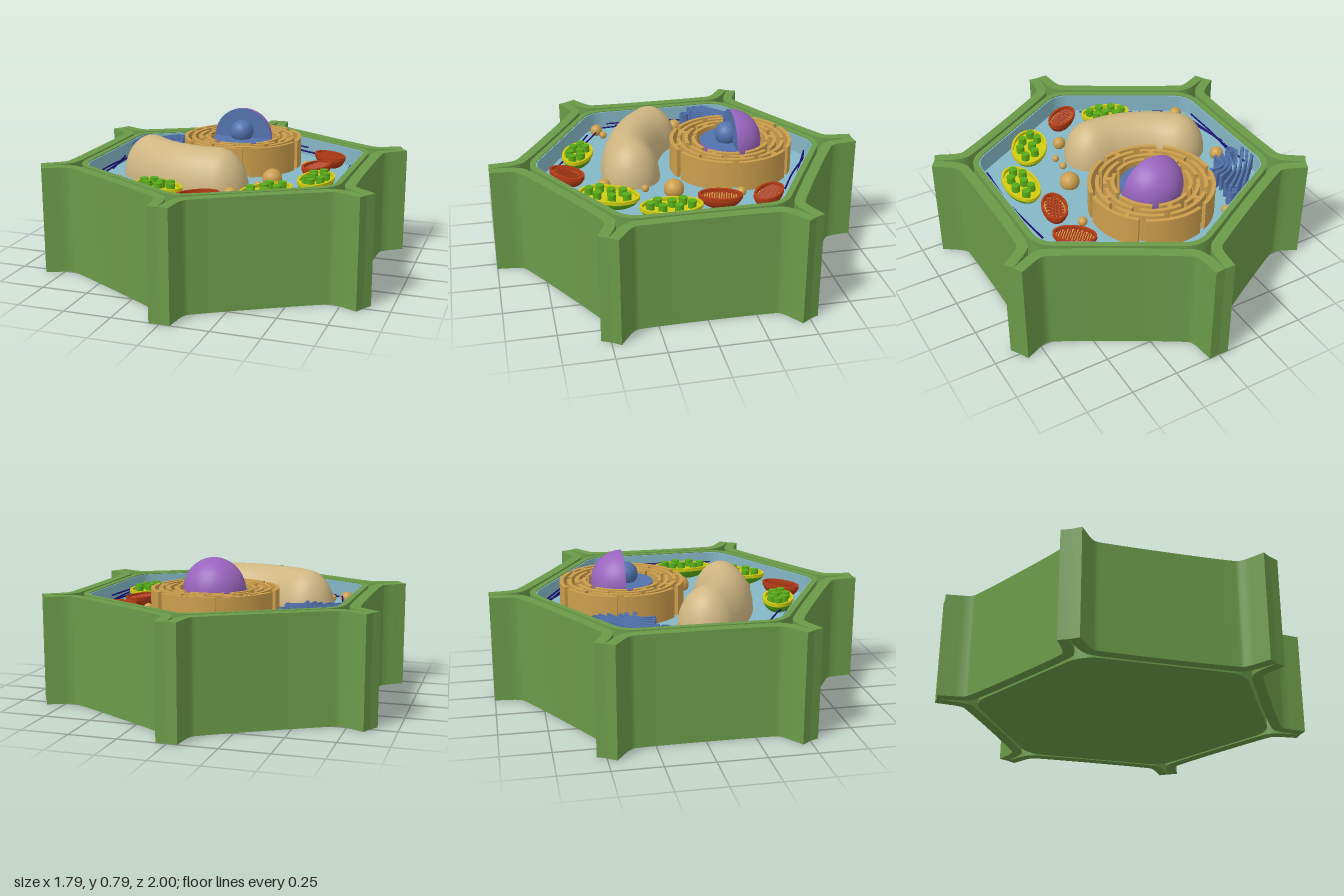
import * as THREE from 'three';
import { mergeVertices, toCreasedNormals } from 'three/addons/utils/BufferGeometryUtils.js';

const mat = (name, color, side = THREE.FrontSide) => {
  const m = new THREE.MeshStandardMaterial({ color, side });
  m.name = name;
  return m;
};
const FLOOR = 0.47, TOP = 0.575;

export function createModel() {
  const green = mat('wallGreen', 0x6a9a48);
  const cyto = mat('cytoplasmBlue', 0x84b6c6);
  const tan = mat('vacuoleTan', 0xcfb682);
  const gold = mat('gold', 0xcc9e4c);
  const purple = mat('nucleusPurple', 0x9864bd);
  const blue = mat('blue', 0x5272ae, THREE.DoubleSide);
  const red = mat('mitochondrionRed', 0xb23a14);
  const yellow = mat('chloroplastYellow', 0xd2cc12);
  const leaf = mat('leafGreen', 0x58ac18);
  const navy = mat('filamentNavy', 0x1a0c78);

  const model = new THREE.Group();
  model.name = 'plantCell';
  const group = (name, x = 0, y = 0, z = 0, turn = 0) => {
    const g = new THREE.Group();
    g.name = name;
    g.position.set(x, y, z);
    g.rotation.y = turn;
    model.add(g);
    return g;
  };
  const add = (parent, name, geo, material, x = 0, y = 0, z = 0) => {
    const m = new THREE.Mesh(geo, material);
    m.name = name;
    m.position.set(x, y, z);
    parent.add(m);
    return m;
  };

  // Upright extrusion of a plan shape (shape y is -z)
  const rise = (shape, y0, y1) => {
    const g = new THREE.ExtrudeGeometry(shape, { depth: y1 - y0, bevelEnabled: false, curveSegments: 24 });
    g.rotateX(-Math.PI / 2).translate(0, y0, 0);
    return toCreasedNormals(g, 0.6);
  };
  // Plan strip of even thickness along a smooth path of [x, z] points
  const strip = (pts, thick, n = 40) => {
    const curve = new THREE.CatmullRomCurve3(pts.map(([x, z]) => new THREE.Vector3(x, -z, 0)), false, 'centripetal');
    const a = [], b = [];
    for (let i = 0; i <= n; i++) {
      const p = curve.getPoint(i / n), t = curve.getTangent(i / n);
      const dx = -t.y * thick / 2, dy = t.x * thick / 2;
      a.push(new THREE.Vector2(p.x - dx, p.y - dy));
      b.unshift(new THREE.Vector2(p.x + dx, p.y + dy));
    }
    return new THREE.Shape([...a, ...b]);
  };
  const hexagon = (apothem, r) => {
    const s = new THREE.Shape(), d = (apothem - r) / Math.cos(Math.PI / 6);
    for (let k = 0; k < 6; k++) {
      const a = Math.PI / 6 + k * Math.PI / 3;
      s.absarc(d * Math.cos(a), d * Math.sin(a), r, a - Math.PI / 6, a + Math.PI / 6, false);
    }
    s.closePath();
    return s;
  };
  const ellipse = (a, b, hole = 0) => {
    const s = new THREE.Shape();
    s.absellipse(0, 0, a, b, 0, Math.PI * 2, false);
    if (hole) {
      const h = new THREE.Path();
      h.absellipse(0, 0, a - hole, b - hole, 0, Math.PI * 2, true);
      s.holes.push(h);
    }
    return s;
  };

  // Outer wall: six strips whose ends bend outward and meet in pairs
  const walls = group('outerWall');
  const half = [[0.75, 0.32], [0.757, 0.372], [0.785, 0.408], [0.83, 0.442], [0.879, 0.4765]];
  const wallPath = [...half.map(([x, z]) => [x, -z]).reverse(), ...half];
  const wallGeo = rise(strip(wallPath, 0.054, 72), 0, TOP);
  for (let k = 0; k < 6; k++) add(walls, 'wallPanel', wallGeo, green).rotation.y = k * Math.PI / 3;

  // Inner hexagonal tray with a blue floor and lining
  const tray = group('innerTray');
  const ring = (outer, inner, r) => {
    const s = hexagon(outer, r);
    s.holes.push(hexagon(inner, r - (outer - inner)));
    return s;
  };
  add(tray, 'trayBase', rise(hexagon(0.703, 0.16), 0, 0.46), green);
  add(tray, 'trayRim', rise(ring(0.703, 0.672, 0.16), 0.46, TOP), green);
  add(tray, 'cytoplasmFloor', rise(hexagon(0.672, 0.13), 0.46, FLOOR), cyto);
  add(tray, 'cytoplasmLining', rise(ring(0.672, 0.665, 0.13), FLOOR, 0.57), cyto);

  // Nucleus: ball with its upper front quarter cut away
  const nucleus = group('nucleus', -0.015, 0.62, -0.3);
  const R = 0.165;
  add(nucleus, 'lowerShell', new THREE.SphereGeometry(R, 48, 16, 0, Math.PI * 2, Math.PI / 2, Math.PI / 2), purple);
  add(nucleus, 'upperShell', new THREE.SphereGeometry(R, 32, 20, Math.PI, Math.PI, 0, Math.PI / 2), purple);
  add(nucleus, 'uprightCut', new THREE.CircleGeometry(R, 40, 0, Math.PI), blue);
  add(nucleus, 'levelCut', new THREE.CircleGeometry(R, 40, Math.PI, Math.PI).rotateX(-Math.PI / 2), blue);
  add(nucleus, 'nucleolus', new THREE.SphereGeometry(0.065, 32, 20), blue, 0, 0.038, 0.02);

  // Folded membrane: concentric broken walls joined by short bridges
  const er = group('endoplasmicReticulum', -0.015, 0, -0.3);
  const radii = [0.2, 0.24, 0.28, 0.32];
  const polar = (r, a) => [r * Math.cos(a), r * Math.sin(a)];
  radii.forEach((r, i) => {
    const n = 6, step = Math.PI * 2 / n;
    for (let k = 0; k < n; k++) {
      const a0 = k * step + i * 0.42, a1 = a0 + step - 0.035 / r;
      const pts = [];
      for (let j = 0; j <= 8; j++) pts.push(polar(r, a0 + (a1 - a0) * j / 8));
      add(er, 'membraneFold', rise(strip(pts, 0.02, 24), FLOOR, 0.63), gold);
      if (i < 3 && (k + i) % 2 === 0) {
        const m = a0 + step * 0.6;
        add(er, 'membraneBridge', rise(strip([polar(r, m), polar(radii[i + 1], m)], 0.026, 2), FLOOR, 0.629), gold);
      }
    }
  });

  // Vacuole: a capsule bent along a curve
  const path = new THREE.CatmullRomCurve3([[-0.41, 0.08], [-0.32, 0.155], [-0.2, 0.215], [-0.08, 0.248], [0.038, 0.255]]
    .map(([x, z]) => new THREE.Vector3(x, 0.47, z)));
  const L = path.getLength();
  let bean = new THREE.CapsuleGeometry(0.153, L, 14, 36, 24);
  bean.deleteAttribute('uv');
  bean.deleteAttribute('normal');
  const bp = bean.attributes.position, up = new THREE.Vector3(0, 1, 0);
  for (let i = 0; i < bp.count; i++) {
    const y = bp.getY(i), inside = THREE.MathUtils.clamp(y, -L / 2, L / 2);
    const t = inside / L + 0.5, T = path.getTangentAt(t);
    const side = new THREE.Vector3().crossVectors(T, up);
    const p = path.getPointAt(t).addScaledVector(T, y - inside)
      .addScaledVector(side, bp.getX(i)).addScaledVector(up, bp.getZ(i) * 1.4);
    bp.setXYZ(i, p.x, p.y, p.z);
  }
  bean = mergeVertices(bean, 1e-5);
  bean.computeVertexNormals();
  add(model, 'vacuole', bean, tan);

  // Open half-ellipsoid bowl shared by chloroplasts and mitochondria
  const bowl = (g, a, b, shell, rim, inner) => {
    const geo = new THREE.SphereGeometry(1, 40, 12, 0, Math.PI * 2, Math.PI / 2, Math.PI / 2);
    add(g, 'shell', geo.scale(a, 0.075, b), shell);
    add(g, 'rim', rise(ellipse(a, b, 0.013), -0.014, 0.004), rim);
    add(g, 'interior', rise(ellipse(a - 0.008, b - 0.008), -0.02, -0.013), inner);
  };

  // Chloroplasts with upright stacks of discs
  const stacks = [[-0.1, 0], [-0.06, -0.035], [-0.045, 0.034], [0.005, -0.015], [0.03, 0.04], [0.058, -0.03], [0.095, 0.012]];
  for (const [x, z, a, b, turn] of [[0.525, 0.135, 0.16, 0.09, 1.53], [0.34, 0.42, 0.162, 0.098, 1.07], [-0.195, 0.515, 0.14, 0.082, -0.3]]) {
    const g = group('chloroplast', x, 0.535, z, turn);
    bowl(g, a, b, leaf, yellow, yellow);
    for (const [sx, sz] of stacks) {
      for (let k = 0; k < 3; k++) {
        add(g, 'discStack', new THREE.CylinderGeometry(0.022, 0.022, 0.012, 18), leaf, sx * a / 0.15, -0.008 + k * 0.013, sz * b / 0.085);
      }
    }
  }

  // Mitochondria with a winding inner fold
  for (const [x, z, turn] of [[0.475, -0.38, -0.72], [0.46, -0.13, 1.3], [0.045, 0.6, 0.67]]) {
    const g = group('mitochondrion', x, 0.535, z, turn), a = 0.113, b = 0.067;
    bowl(g, a, b, red, red, gold);
    const pts = [];
    for (let i = 0; i <= 14; i++) {
      const u = -0.085 + i * 0.17 / 14, w = 0.8 * b * Math.sqrt(1 - (u / a) ** 2);
      const s = i % 2 ? 1 : -1;
      pts.push(new THREE.Vector3(u - 0.003, -0.006, -s * w * 0.8), new THREE.Vector3(u + 0.003, -0.006, s * w * 0.8));
    }
    add(g, 'innerFold', new THREE.TubeGeometry(new THREE.CatmullRomCurve3(pts), 160, 0.0038, 6), red);
  }

  // Golgi body: bowed upright sheets with bulb ends and two loose vesicles
  const golgi = group('golgiBody', -0.51, 0, -0.32, Math.PI / 4);
  [0.13, 0.17, 0.18, 0.15, 0.1, 0.085, 0.06].forEach((h, j) => {
    const z = -0.085 + j * 0.027, bow = -0.004 * j;
    const pts = [[-h, z - bow], [-h / 2, z + bow / 2], [0, z + bow], [h / 2, z + bow / 2], [h, z - bow]];
    add(golgi, 'sheet', rise(strip(pts, 0.011, 20), FLOOR, 0.565), blue);
    for (const s of [-1, 1]) add(golgi, 'sheetEnd', new THREE.CylinderGeometry(0.01, 0.01, 0.095, 12), blue, s * h, 0.5175, z - bow);
  });
  for (const [x, z] of [[-0.39, -0.485], [-0.6, -0.17]]) {
    add(model, 'golgiVesicle', rise(ellipse(0.025, 0.025, 0.006), FLOOR, 0.55), blue, x, 0, z);
  }

  // Round vesicles
  const beads = [[-0.32, -0.55, 0.027], [0.37, -0.265, 0.025], [0.27, 0.07, 0.053], [0.235, 0.215, 0.02], [0.24, 0.295, 0.019],
    [0.155, 0.42, 0.035], [-0.58, 0.36, 0.034], [-0.505, 0.33, 0.021], [-0.56, -0.1, 0.037]];
  for (const [x, z, r] of beads) add(model, 'vesicle', new THREE.SphereGeometry(r, 24, 16), gold, x, 0.495, z);

  // Thin filaments along the walls: start x, z, end x, z, sideways bow
  const lines = [[-0.03, -0.73, 0.43, -0.52, 0.015], [0.06, -0.7, 0.42, -0.48, -0.01], [0.0, -0.72, 0.3, -0.58, 0],
    [0.645, -0.35, 0.62, 0.33, 0.02], [0.61, -0.3, 0.645, 0.32, 0.01], [0.655, -0.1, 0.635, 0.33, 0],
    [-0.655, -0.24, -0.62, 0.32, -0.01], [-0.62, -0.15, -0.645, 0.29, -0.01], [-0.635, -0.05, -0.575, 0.25, 0],
    [-0.53, 0.42, -0.1, 0.655, 0.01], [-0.52, 0.37, -0.2, 0.59, 0.012]];
  lines.forEach(([x0, z0, x1, z1, bow], i) => {
    const y = 0.49 + 0.015 * (i % 3), len = Math.hypot(x1 - x0, z1 - z0);
    const mid = new THREE.Vector3((x0 + x1) / 2 + bow * (z1 - z0) / len, y, (z0 + z1) / 2 - bow * (x1 - x0) / len);
    const curve = new THREE.CatmullRomCurve3([new THREE.Vector3(x0, y, z0), mid, new THREE.Vector3(x1, y, z1)]);
    add(model, 'filament', new THREE.TubeGeometry(curve, 20, 0.0045, 6), navy);
  });

  return model;
}
